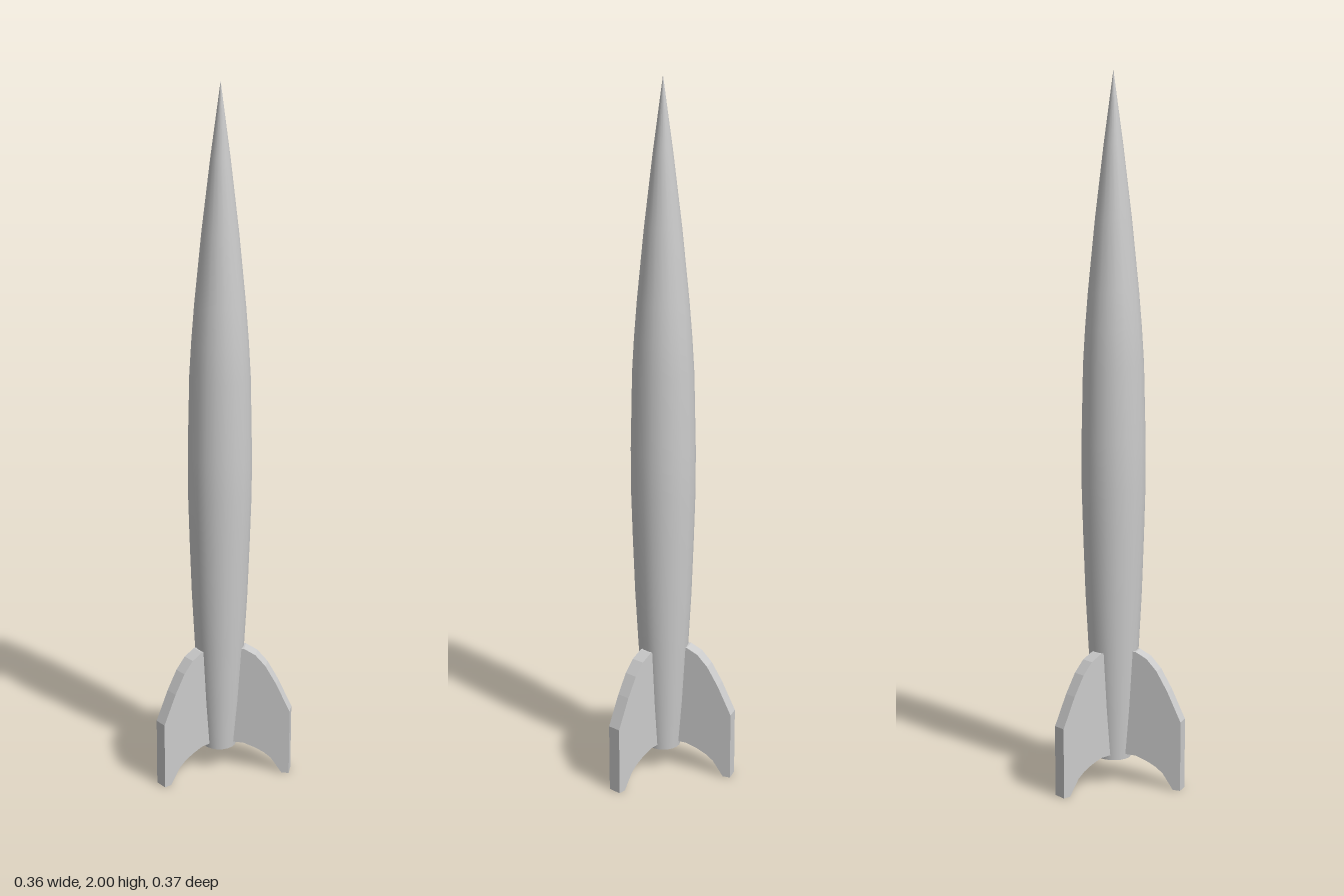
import * as THREE from 'three';

const SIDES = 20;
const FIN_REACH = 0.21;
const FIN_THICKNESS = 0.038;

export function createModel() {
  const group = new THREE.Group();
  group.name = 'rocket';
  const material = new THREE.MeshStandardMaterial({ color: 0xcccccc });
  const add = (name, geometry) => {
    const mesh = new THREE.Mesh(geometry, material);
    mesh.name = name;
    group.add(mesh);
    return mesh;
  };

  // Spindle-shaped body with a pointed nose: [radius, height]
  const profile = [
    [0.049, 0.073], [0.061, 0.22], [0.072, 0.4], [0.08, 0.55], [0.086, 0.72],
    [0.09, 0.86], [0.09, 0.98], [0.085, 1.2], [0.079, 1.3], [0.071, 1.4],
    [0.051, 1.6], [0.027, 1.8], [0, 2],
  ].map(([r, y]) => new THREE.Vector2(r, y));
  const body = add('body', new THREE.LatheGeometry(profile, SIDES, Math.PI / SIDES));
  body.position.set(0.027, 0, 0.0125);

  // Flat disc closing the tail
  const tail = new THREE.CircleGeometry(0.049, SIDES, Math.PI / SIDES);
  tail.rotateX(Math.PI / 2);
  add('tailCap', tail).position.set(0.027, 0.073, 0.0125);

  // Swept fin outline: x runs outward from the body axis
  const outline = [
    [0.035, 0.088], [0.075, 0.087], [0.109, 0.075], [0.135, 0.062], [0.157, 0.045],
    [0.188, 0], [FIN_REACH, 0], [FIN_REACH, 0.2], [0.17, 0.285], [0.138, 0.34],
    [0.108, 0.373], [0.075, 0.39], [0.05, 0.39],
  ].map(([x, y]) => new THREE.Vector2(x, y));
  const finGeometry = new THREE.ExtrudeGeometry(new THREE.Shape(outline), {
    depth: FIN_THICKNESS, bevelEnabled: false,
  });
  finGeometry.translate(0, 0, -FIN_THICKNESS / 2);

  // Three fins: tip centre x, z and the heading of each
  const fins = [
    ['finRight', -0.183, 0.008, Math.PI],
    ['finBackLeft', 0.115, -0.177, -1.079],
    ['finFrontLeft', 0.1665, 0.17, 0.838],
  ];
  for (const [name, x, z, heading] of fins) {
    const fin = add(name, finGeometry);
    fin.rotation.y = -heading;
    fin.position.set(x - FIN_REACH * Math.cos(heading), 0, z - FIN_REACH * Math.sin(heading));
  }
  return group;
}
